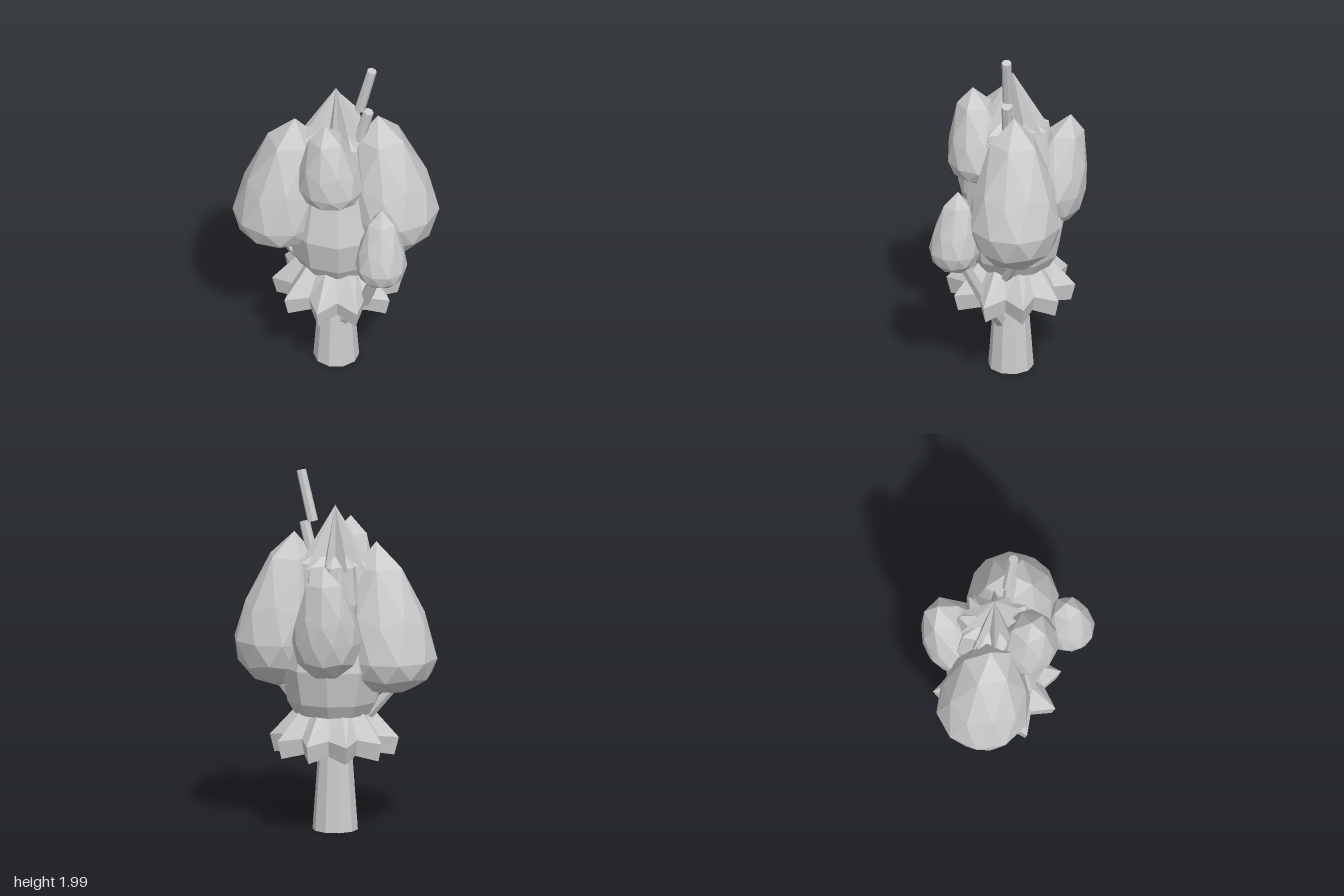
import * as THREE from 'three';

const grey = new THREE.MeshStandardMaterial({ color: 0xcccccc, flatShading: true });
grey.name = 'plain grey';

// Loft star-shaped rings, listed from the underside upward as
// [y, outerRadius, innerRadius, innerY]; innerY is y when left out.
function starLoft(rings, points, phase = 0) {
  const n = points * 2;
  const pos = [];
  const at = ([y, outer, inner, innerY = y], i) => {
    const a = phase + (i / n) * Math.PI * 2;
    const r = i % 2 ? inner : outer;
    return [r * Math.sin(a), i % 2 ? innerY : y, r * Math.cos(a)];
  };
  for (let k = 0; k < rings.length - 1; k++) {
    for (let i = 0; i < n; i++) {
      const a = at(rings[k], i), b = at(rings[k], i + 1);
      const c = at(rings[k + 1], i + 1), d = at(rings[k + 1], i);
      if (rings[k][1] > 0) pos.push(...a, ...b, ...c);
      if (rings[k + 1][1] > 0) pos.push(...a, ...c, ...d);
    }
  }
  const g = new THREE.BufferGeometry();
  g.setAttribute('position', new THREE.Float32BufferAttribute(pos, 3));
  g.computeVertexNormals();
  return g;
}

// Low-poly teardrop: an icosphere with its upper half drawn up to a leaning, sharp tip.
function teardrop({ centre, r, down, tip, spin = 0, sharp = 1.6 }) {
  const g = new THREE.IcosahedronGeometry(1, 1);
  g.rotateZ(Math.atan(2 / (1 + Math.sqrt(5)))); // a corner points straight up
  g.rotateY(spin);
  const p = g.attributes.position;
  const [cx, cy, cz] = centre;
  for (let i = 0; i < p.count; i++) {
    const y = p.getY(i);
    const lift = y > 0 ? Math.pow(y, sharp) : 0;
    p.setXYZ(i,
      cx + p.getX(i) * r + (tip[0] - cx) * lift,
      y > 0 ? cy + (tip[1] - cy) * lift : cy + y * down,
      cz + p.getZ(i) * r + (tip[2] - cz) * lift);
  }
  g.computeVertexNormals();
  return g;
}

// Tapered stick between two points.
function stick(from, to, r0, r1, sides = 7) {
  const a = new THREE.Vector3(...from), b = new THREE.Vector3(...to);
  const dir = b.clone().sub(a);
  const g = new THREE.CylinderGeometry(r1, r0, dir.length(), sides);
  g.applyQuaternion(new THREE.Quaternion().setFromUnitVectors(new THREE.Vector3(0, 1, 0), dir.normalize()));
  g.translate((a.x + b.x) / 2, (a.y + b.y) / 2, (a.z + b.z) / 2);
  return g;
}

export function createModel() {
  const model = new THREE.Group();
  model.name = 'tree';
  const add = (name, geometry) => {
    const mesh = new THREE.Mesh(geometry, grey);
    mesh.name = name;
    model.add(mesh);
    return mesh;
  };

  // Trunk
  add('trunk', stick([-0.005, 0.01, 0], [-0.005, 0.7, 0], 0.125, 0.075, 10));

  // Pleated skirt of leaves
  add('leafSkirt', starLoft([
    [0.46, 0, 0], [0.45, 0.15, 0.13, 0.46], [0.432, 0.33, 0.24, 0.46],
    [0.53, 0.355, 0.26, 0.55], [0.7, 0.2, 0.17], [0.72, 0, 0],
  ], 10));

  // Rounded middle of the crown
  add('crownBody', starLoft([
    [0.665, 0, 0], [0.67, 0.215, 0.215], [0.74, 0.255, 0.255], [0.93, 0.29, 0.29],
    [1.2, 0.235, 0.235], [1.42, 0.16, 0.16], [1.5, 0, 0],
  ], 5, Math.PI / 10)).position.z = -0.015;

  // Upper pleated tier and pointed top
  add('upperTier', starLoft([
    [1.1, 0, 0], [1.12, 0.19, 0.17], [1.3, 0.23, 0.19], [1.5, 0.2, 0.15], [1.6, 0, 0],
  ], 10, Math.PI / 10)).position.set(-0.01, 0, -0.01);
  add('crownTop', starLoft([
    [1.5, 0, 0], [1.48, 0.2, 0.11], [1.82, 0, 0],
  ], 10, 0.15)).position.set(-0.01, 0, -0.01);

  // Teardrop foliage clumps around the crown
  const clumps = {
    rightClump: { centre: [-0.305, 0.98, 0.068], r: 0.26, down: 0.2, tip: [-0.22, 1.62, 0.07], sharp: 1.5 },
    leftClump: { centre: [0.305, 1.06, -0.057], r: 0.253, down: 0.27, tip: [0.22, 1.66, -0.045], spin: 0.5 },
    frontClump: { centre: [0.02, 1.29, 0.16], r: 0.185, down: 0.13, tip: [0, 1.72, 0.21], spin: 0.3 },
    backClump: { centre: [-0.055, 1.1, -0.215], r: 0.192, down: 0.22, tip: [-0.085, 1.54, -0.32], sharp: 1.7 },
    smallClump: { centre: [0.342, 0.895, 0.268], r: 0.142, down: 0.135, tip: [0.34, 1.25, 0.25], spin: 0.6 },
  };
  for (const [name, spec] of Object.entries(clumps)) add(name, teardrop(spec));

  // Branches reaching the clumps
  add('lowerBranch', stick([0.02, 0.27, 0.03], [0.2, 0.52, 0.12], 0.046, 0.036));
  add('smallClumpBranch', stick([0.18, 0.46, 0.1], [0.33, 0.86, 0.26], 0.036, 0.026));
  add('rightBranch', stick([-0.11, 0.57, 0.03], [-0.34, 0.83, 0.06], 0.035, 0.025));
  add('leftBranch', stick([0.14, 0.58, 0.04], [0.31, 0.86, -0.09], 0.035, 0.025));

  // Bare twig poking out of the top, in two offset pieces
  add('lowerTwig', stick([0.09, 1.36, 0], [0.18, 1.71, 0], 0.034, 0.03));
  add('upperTwig', stick([0.13, 1.715, 0], [0.2, 1.993, 0], 0.03, 0.027));

  return model;
}
